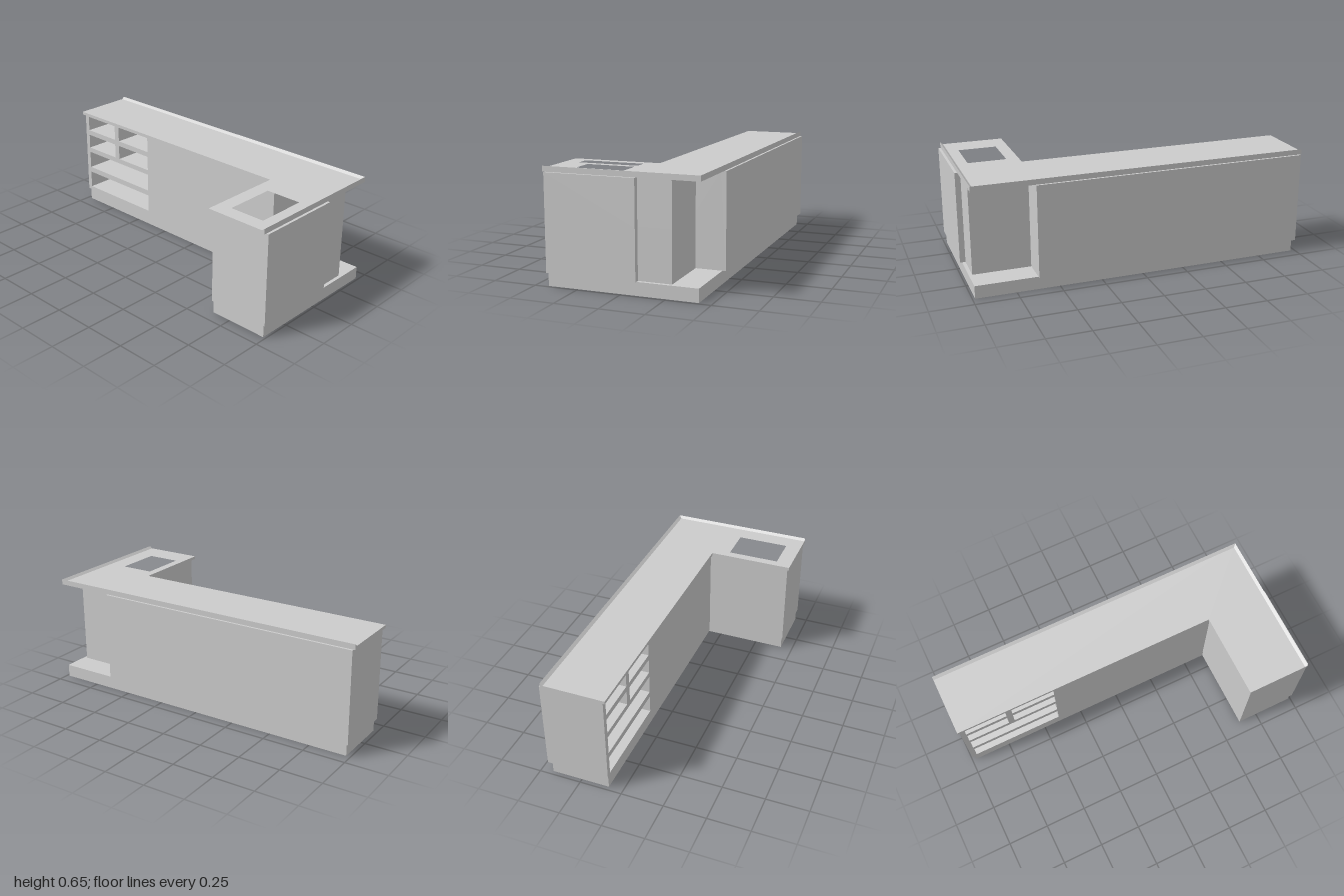
import * as THREE from 'three';

const mat = new THREE.MeshStandardMaterial({ color: 0xcccccc, flatShading: true });

// Closed outline of an axis-aligned rectangle
const rect = (a0, b0, a1, b1) => [[a0, b0], [a1, b0], [a1, b1], [a0, b1]];
const toShape = (pts, holes = []) => {
  const s = new THREE.Shape(pts.map(([a, b]) => new THREE.Vector2(a, b)));
  s.holes = holes.map(h => new THREE.Path(h.map(([a, b]) => new THREE.Vector2(a, b))));
  return s;
};
const extrude = (shape, depth) => new THREE.ExtrudeGeometry(shape, { depth, bevelEnabled: false });

export function createModel() {
  const root = new THREE.Group();
  const add = (name, geometry) => {
    const m = new THREE.Mesh(geometry, mat);
    m.name = name;
    root.add(m);
  };
  // Plan outline in (x, z), raised from y0 to y1
  const slab = (name, pts, y0, y1, holes = []) => {
    const flip = list => list.map(([x, z]) => [x, -z]);
    const g = extrude(toShape(flip(pts), holes.map(flip)), y1 - y0);
    add(name, g.rotateX(-Math.PI / 2).translate(0, y0, 0));
  };

  // Recessed L-shaped plinth
  slab('plinth', [[-0.975, -0.43], [0.985, -0.43], [0.985, 0.425], [0.632, 0.425],
    [0.632, -0.085], [-0.975, -0.085]], 0, 0.075);

  // Long cabinet with open shelf compartments in its front
  const bays = [
    rect(-0.96, 0.51, -0.705, 0.605), rect(-0.668, 0.51, -0.4, 0.605),
    rect(-0.96, 0.385, -0.705, 0.477), rect(-0.668, 0.385, -0.4, 0.477),
    rect(-0.96, 0.242, -0.4, 0.353), rect(-0.96, 0.097, -0.4, 0.207),
  ];
  add('shelfCabinet', extrude(toShape(rect(-0.99, 0.075, 0.625, 0.617), bays), 0.34)
    .translate(0, 0, -0.42));
  slab('backPanel', rect(-0.99, -0.45, 0.625, -0.42), 0.075, 0.617);

  // Side wing, stepped in at the open outer corner, with the basin well
  const wing = [[0.625, -0.277], [0.965, -0.277], [0.965, -0.087], [0.997, -0.087],
    [0.997, 0.432], [0.625, 0.432]];
  const well = rect(0.664, 0.03, 0.895, 0.345);
  slab('wingLower', wing, 0.075, 0.36);
  slab('wingBasin', wing, 0.36, 0.617, [well]);

  // L-shaped worktop with a slightly larger basin opening
  slab('worktop', [[-1, -0.437], [0.982, -0.437], [0.982, 0.447], [0.605, 0.447],
    [0.605, -0.063], [-1, -0.063]], 0.617, 0.635, [rect(0.654, 0.014, 0.902, 0.361)]);

  // Sloped lip along the back and outer side edges
  const lip = edge => toShape([[edge - 0.018, 0.634], [edge, 0.634], [edge, 0.648]]);
  add('backLip', extrude(lip(0.437), 1.982).rotateY(Math.PI / 2).translate(-1, 0, 0));
  add('sideLip', extrude(lip(0.982), 0.884).translate(0, 0, -0.437));

  return root;
}
